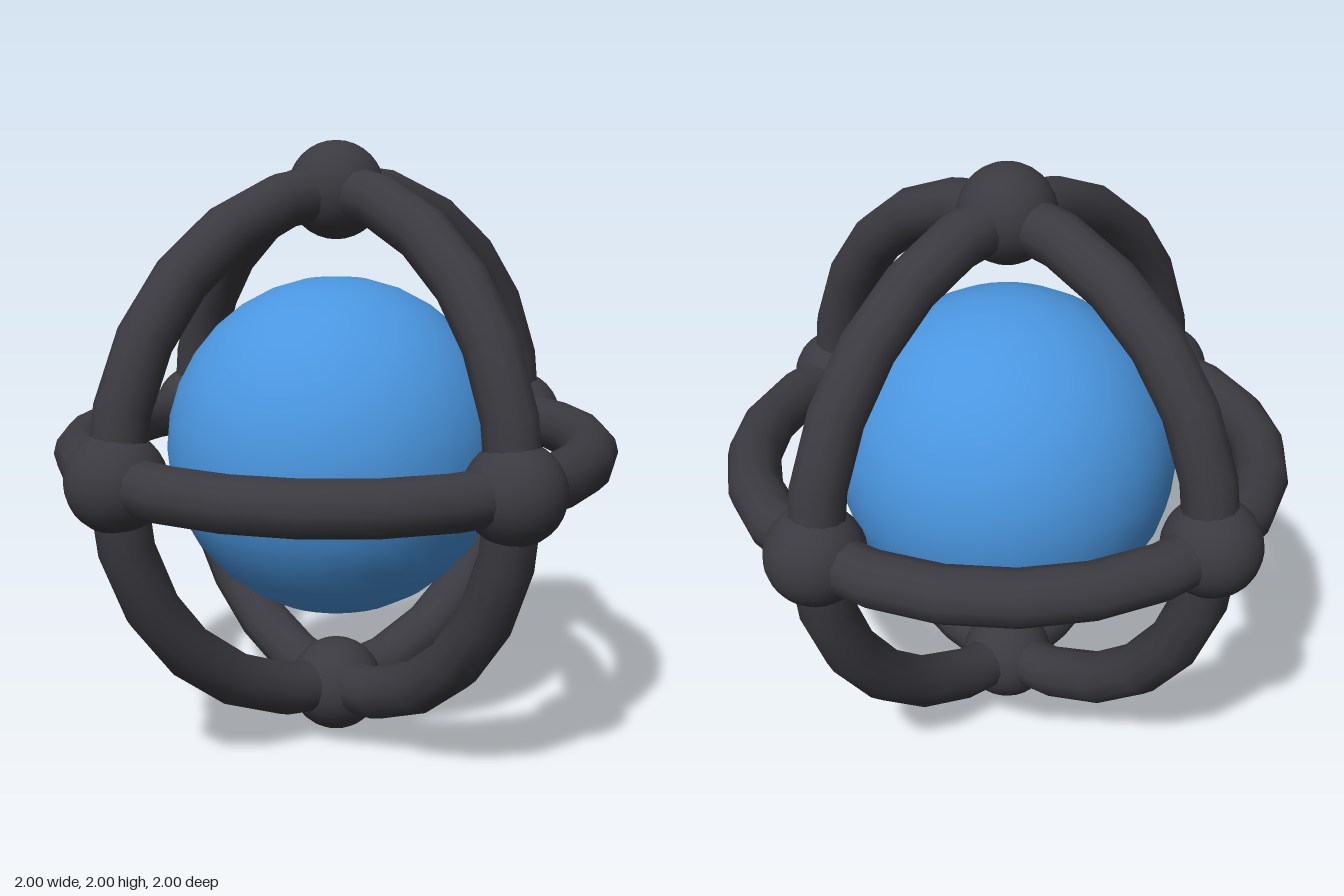
import * as THREE from 'three';

const RING = 0.842, TUBE = 0.088, NODE = 0.158, BALL = 0.562;

export function createModel() {
  const model = new THREE.Group();
  model.name = 'cagedBall';

  const frame = new THREE.MeshStandardMaterial({ color: 0x3b3a40 });
  frame.name = 'charcoal';
  const blue = new THREE.MeshStandardMaterial({ color: 0x4a96e0 });
  blue.name = 'blue';

  const add = (name, geometry, material) => {
    const mesh = new THREE.Mesh(geometry, material);
    mesh.name = name;
    mesh.position.y = 1;
    model.add(mesh);
    return mesh;
  };

  // Core ball
  add('coreBall', new THREE.SphereGeometry(BALL, 32, 16), blue);

  // Three rings, one in each main plane
  const ring = new THREE.TorusGeometry(RING, TUBE, 12, 24);
  add('frontRing', ring, frame);
  add('sideRing', ring, frame).rotation.y = Math.PI / 2;
  add('levelRing', ring, frame).rotation.x = Math.PI / 2;

  // Round joints where the rings cross
  const joint = new THREE.SphereGeometry(NODE, 24, 16);
  const places = {
    left: [1, 0, 0], right: [-1, 0, 0],
    top: [0, 1, 0], bottom: [0, -1, 0],
    front: [0, 0, 1], back: [0, 0, -1],
  };
  for (const [side, dir] of Object.entries(places)) {
    add(side + 'Joint', joint, frame).position.addScaledVector(new THREE.Vector3(...dir), RING);
  }
  return model;
}
